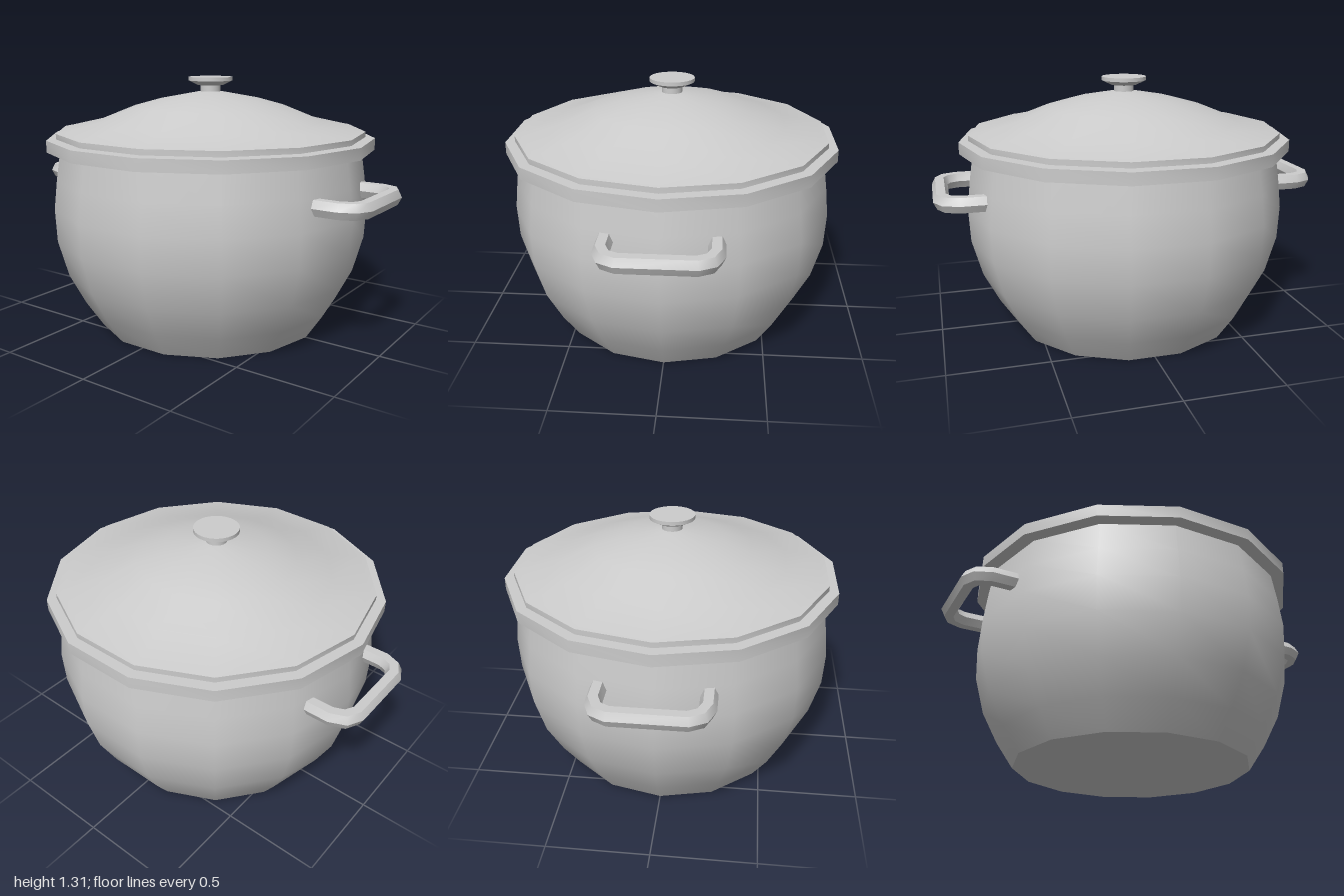
import * as THREE from 'three';
import { toCreasedNormals } from 'three/addons/utils/BufferGeometryUtils.js';

const material = new THREE.MeshStandardMaterial({ color: 0xcccccc });
const SIDES = 14;

function addMesh(parent, name, geometry, crease = 0.6) {
  const mesh = new THREE.Mesh(toCreasedNormals(geometry, crease), material);
  mesh.name = name;
  parent.add(mesh);
  return mesh;
}

// Turned part from [radius, height] pairs, listed bottom to top on the outside
function turned(profile, sides = SIDES) {
  return new THREE.LatheGeometry(profile.map(([r, y]) => new THREE.Vector2(r, y)), sides);
}

// Sweep a hexagonal section along a flat path in the xz plane, mitred at the bends
function hexBar(path, halfWidth, halfHeight) {
  const section = [[1, 0], [0.55, 1], [-0.55, 1], [-1, 0], [-0.55, -1], [0.55, -1]];
  const n = section.length;
  const positions = [];
  const index = [];
  path.forEach((p, i) => {
    const before = p.clone().sub(path[Math.max(i - 1, 0)]).normalize();
    const after = path[Math.min(i + 1, path.length - 1)].clone().sub(p).normalize();
    const along = before.clone().add(after).normalize();
    const cos = along.dot(i === 0 ? after : before);
    const side = new THREE.Vector2(along.y, -along.x).multiplyScalar(halfWidth / cos);
    for (const [u, v] of section) positions.push(p.x + side.x * u, v * halfHeight, p.y + side.y * u);
  });
  for (let i = 0; i < path.length - 1; i++) {
    for (let j = 0; j < n; j++) {
      const a = i * n + j, b = i * n + (j + 1) % n;
      index.push(a, b, a + n, b, b + n, a + n);
    }
  }
  // End caps
  const last = (path.length - 1) * n;
  for (let j = 1; j < n - 1; j++) {
    index.push(0, j + 1, j, last, last + j, last + j + 1);
  }
  const geometry = new THREE.BufferGeometry();
  geometry.setAttribute('position', new THREE.Float32BufferAttribute(positions, 3));
  geometry.setIndex(index);
  return geometry;
}

export function createModel() {
  const pot = new THREE.Group();
  pot.name = 'cookingPot';

  // Rounded pot wall with a flat base
  addMesh(pot, 'body', turned([
    [0, 0], [0.6, 0], [0.687, 0.13], [0.77, 0.29], [0.822, 0.48],
    [0.83, 0.65], [0.813, 0.8], [0.79, 0.95], [0.785, 0.99],
  ]));

  // Square-edged band around the mouth
  addMesh(pot, 'rim', turned([
    [0.76, 0.945], [0.857, 0.945], [0.857, 1.005], [0.76, 1.005], [0.76, 0.945],
  ]));

  // Domed lid with a short upright edge
  addMesh(pot, 'lid', turned([
    [0, 1.01], [0.808, 1.01], [0.808, 1.037], [0.775, 1.043], [0.59, 1.085],
    [0.41, 1.157], [0.265, 1.197], [0.06, 1.235], [0, 1.237],
  ]));

  // Lid knob: stem, flared underside and flat top
  addMesh(pot, 'knob', turned([
    [0, 1.22], [0.052, 1.22], [0.052, 1.268], [0.068, 1.268],
    [0.115, 1.291], [0.115, 1.31], [0, 1.31],
  ], 32));

  // Loop handles at front and back
  const half = [[0.25, 0.75], [0.25, 0.87], [0.224, 0.932], [0.17, 0.96]];
  const path = [...half, ...half.map(([x, z]) => [-x, z]).reverse()]
    .map(([x, z]) => new THREE.Vector2(x, z));
  [['frontHandle', 0], ['backHandle', Math.PI]].forEach(([name, turn]) => {
    const handle = addMesh(pot, name, hexBar(path, 0.04, 0.038), 0.75);
    handle.position.set(0.004, 0.754, 0);
    handle.rotation.y = turn;
  });

  return pot;
}
